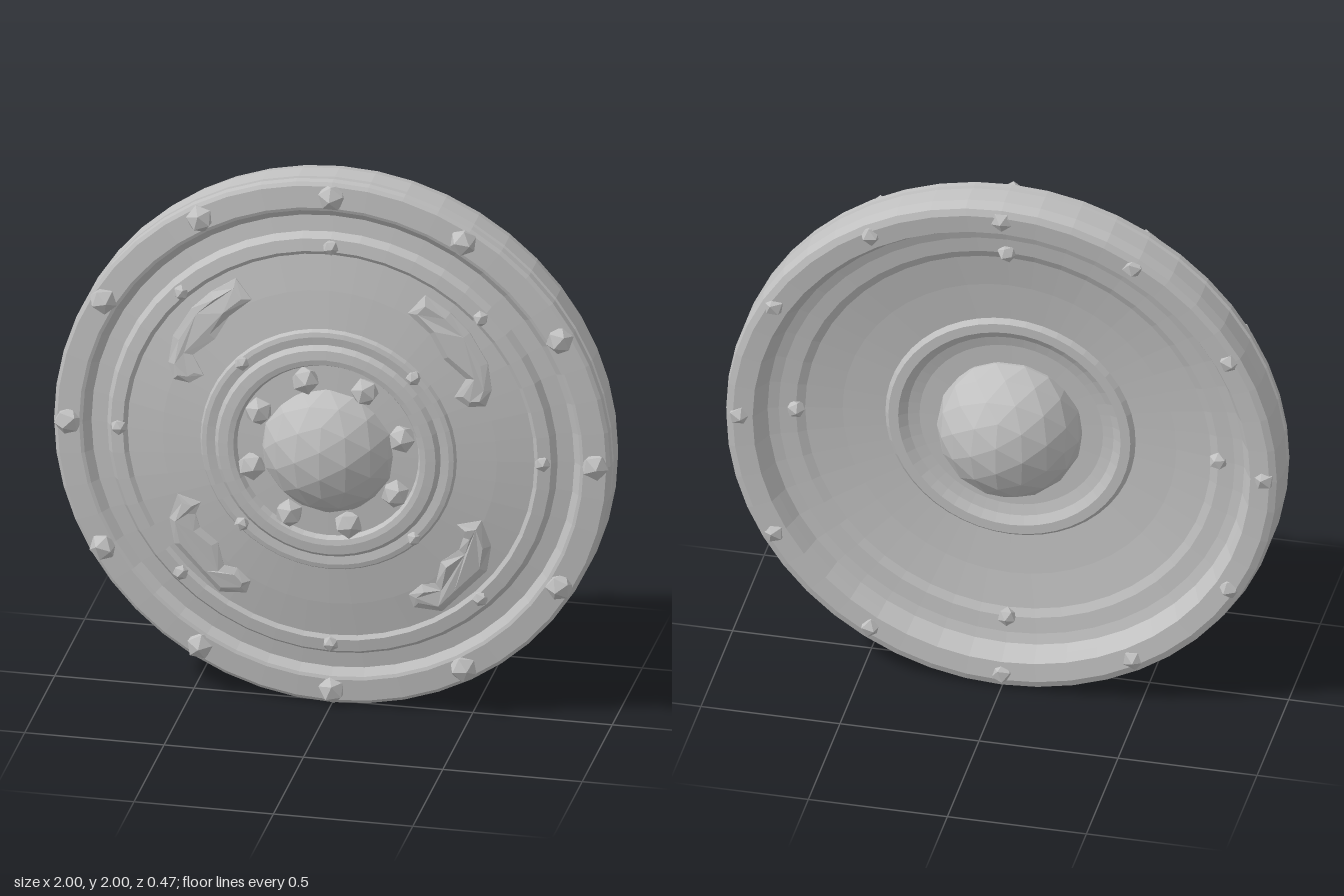
import * as THREE from 'three';

const metal = new THREE.MeshStandardMaterial({ color: 0xc0c0c0, flatShading: true });
metal.name = 'grey metal';

export function createModel() {
  const model = new THREE.Group();
  model.name = 'roundShield';
  const shield = new THREE.Group();
  shield.name = 'shield';
  shield.position.y = 1;
  model.add(shield);

  const add = (name, geometry, x = 0, y = 0, z = 0) => {
    const mesh = new THREE.Mesh(geometry, metal);
    mesh.name = name;
    mesh.position.set(x, y, z);
    shield.add(mesh);
    return mesh;
  };

  // Turn a profile of [radius, z] points about the front-facing axis
  const turn = (name, profile) => {
    const points = profile.map(([r, z]) => new THREE.Vector2(r, z));
    return add(name, new THREE.LatheGeometry(points, 48).rotateX(Math.PI / 2));
  };

  // Heavy rim with a thin seam around its edge
  turn('rim', [
    [0.855, -0.07], [0.875, -0.11], [0.895, -0.145], [0.965, -0.152], [0.99, -0.143], [1, -0.1],
    [1, -0.025], [0.992, -0.02], [0.992, -0.012], [1, -0.006], [0.998, 0.02], [0.985, 0.029],
    [0.905, 0.036], [0.893, 0.032], [0.866, 0.008],
  ]);

  // Shallow dish: back surface outward, then the stepped front inward
  turn('dish', [
    [0.18, 0.015], [0.33, 0.01], [0.37, 0], [0.4, -0.02], [0.435, -0.02], [0.45, -0.002],
    [0.6, -0.018], [0.73, -0.04], [0.76, -0.055], [0.82, -0.063], [0.858, -0.075],
    [0.868, 0.008], [0.808, 0.016],
    [0.79, 0.044], [0.745, 0.051], [0.73, 0.04],
    [0.6, 0.062], [0.46, 0.08], [0.452, 0.094], [0.435, 0.098], [0.405, 0.094], [0.4, 0.1],
    [0.39, 0.112], [0.355, 0.116], [0.335, 0.112], [0.325, 0.092], [0.18, 0.1],
  ]);

  // Central boss, domed on both sides
  add('boss', new THREE.IcosahedronGeometry(0.26, 2).scale(1, 1, 0.93));

  // Rings of faceted rivets
  const rivets = (name, count, radius, z, size, start) => {
    for (let i = 0; i < count; i++) {
      const a = start + (i / count) * Math.PI * 2;
      const rivet = add(name, new THREE.IcosahedronGeometry(size, 0),
        Math.cos(a) * radius, Math.sin(a) * radius, z);
      rivet.rotation.set(0.5, 0.3, a + i * 0.7);
    }
  };
  const deg = Math.PI / 180;
  rivets('rimRivet', 12, 0.945, 0.028, 0.052, 0);
  rivets('backRimRivet', 12, 0.945, -0.13, 0.043, 0);
  rivets('bossRivet', 8, 0.28, 0.108, 0.052, 16 * deg);
  rivets('bandRivet', 8, 0.76, 0.046, 0.03, 0);
  rivets('backBandRivet', 4, 0.76, -0.055, 0.035, 0);
  rivets('ringRivet', 4, 0.435, 0.095, 0.028, 45 * deg);

  // Curled relief ornaments that follow the slope of the dish
  const upper = [
    [0.28, 0.54], [0.36, 0.47], [0.41, 0.38], [0.49, 0.31], [0.45, 0.24], [0.5, 0.205],
    [0.56, 0.21], [0.58, 0.27], [0.565, 0.37], [0.5, 0.48], [0.43, 0.55], [0.34, 0.61],
  ];
  const lower = [
    [0.545, -0.23], [0.46, -0.25], [0.48, -0.3], [0.465, -0.35], [0.4, -0.4], [0.38, -0.49],
    [0.33, -0.495], [0.283, -0.54], [0.3, -0.59], [0.4, -0.6], [0.465, -0.53], [0.56, -0.43],
    [0.577, -0.33],
  ];
  const ornament = (name, outline, side) => {
    const shape = new THREE.Shape(outline.map(([x, y]) => new THREE.Vector2(x * side, y)));
    const geometry = new THREE.ExtrudeGeometry(shape, {
      depth: 0.014, bevelEnabled: true, bevelThickness: 0.014, bevelSize: 0.025,
      bevelOffset: -0.025, bevelSegments: 1,
    });
    const p = geometry.attributes.position;
    for (let i = 0; i < p.count; i++) {
      const r = Math.hypot(p.getX(i), p.getY(i));
      const ripple = 0.007 * Math.sin(p.getX(i) * 40 + p.getY(i) * 23);
      p.setZ(i, p.getZ(i) + 0.05 - (r - 0.6) * 0.15 + (p.getZ(i) > 0.02 ? ripple : 0));
    }
    geometry.computeVertexNormals();
    add(name, geometry);
  };
  for (const side of [1, -1]) {
    ornament('upperOrnament', upper, side);
    ornament('lowerOrnament', lower, side);
  }

  return model;
}
